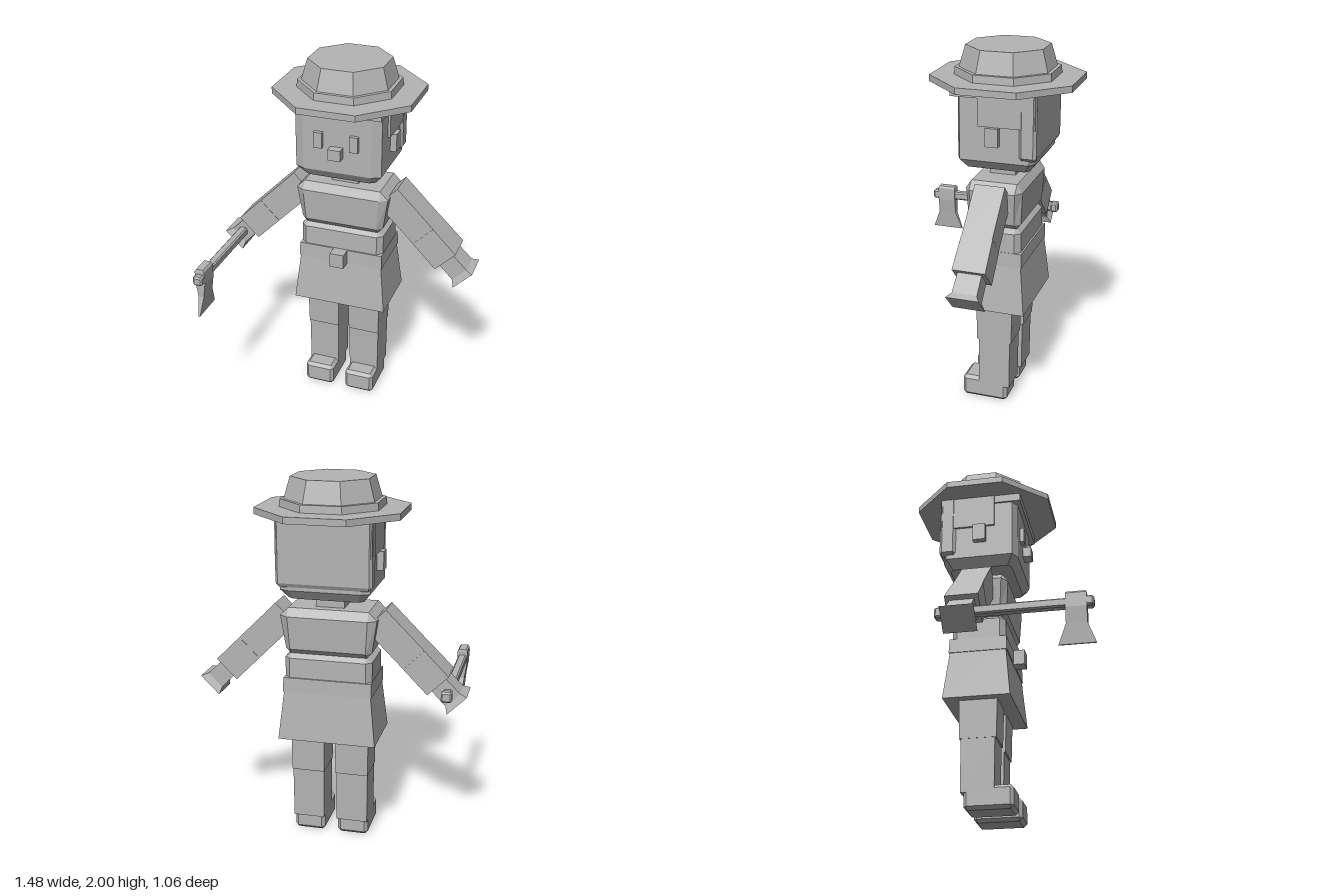
import * as THREE from 'three';

const grey = new THREE.MeshStandardMaterial({ color: 0xb4b4b4, flatShading: true });
grey.name = 'plain grey';

// Stacks chamfered rectangles [y, halfX, halfZ, chamferX, chamferZ] into a closed solid
function loft(rings) {
  const loops = rings.map(([y, hx, hz, cx = 0, cz = cx]) => [
    [hx, y, hz - cz], [hx, y, cz - hz], [hx - cx, y, -hz], [cx - hx, y, -hz],
    [-hx, y, cz - hz], [-hx, y, hz - cz], [cx - hx, y, hz], [hx - cx, y, hz],
  ]);
  const pos = [];
  const tri = (a, b, c) => pos.push(...a, ...b, ...c);
  const last = loops.length - 1;
  for (let i = 0; i < 8; i++) {
    const j = (i + 1) % 8;
    for (let k = 0; k < last; k++) {
      const lo = loops[k], hi = loops[k + 1];
      tri(lo[i], lo[j], hi[j]);
      tri(lo[i], hi[j], hi[i]);
    }
    tri([0, rings[0][0], 0], loops[0][j], loops[0][i]);
    tri([0, rings[last][0], 0], loops[last][i], loops[last][j]);
  }
  const g = new THREE.BufferGeometry();
  g.setAttribute('position', new THREE.Float32BufferAttribute(pos, 3));
  g.computeVertexNormals();
  return g;
}

// Box with every edge chamfered by c, standing on y0
const chamferBox = (y0, y1, hx, hz, c) => loft([
  [y0, hx - c, hz - c], [y0 + c, hx, hz, c], [y1 - c, hx, hz, c], [y1, hx - c, hz - c],
]);

// Regular octagons [y, apothem]
const octagon = (rings) => loft(rings.map(([y, a]) => [y, a, a, a * 0.5858]));

export function createModel() {
  const model = new THREE.Group();
  model.name = 'woodcutter';

  const add = (name, geometry, x = 0, y = 0, z = 0, parent = model) => {
    const m = new THREE.Mesh(geometry, grey);
    m.name = name;
    m.position.set(x, y, z);
    parent.add(m);
    return m;
  };
  // Box given by its extents
  const box = (name, x0, x1, y0, y1, z0, z1) => add(name,
    new THREE.BoxGeometry(x1 - x0, y1 - y0, z1 - z0),
    (x0 + x1) / 2, (y0 + y1) / 2, (z0 + z1) / 2);

  // Hat
  const hz = -0.15;
  add('hatBrim', octagon([[1.81, 0.382], [1.845, 0.382]]), 0, 0, hz);
  add('hatBand', octagon([[1.845, 0.262], [1.885, 0.258]]), 0, 0, hz);
  add('hatCrown', octagon([[1.88, 0.24], [2, 0.207]]), 0, 0, hz);

  // Head and neck
  add('head', loft([
    [1.38, 0.2, 0.175, 0.03, 0.02], [1.43, 0.24, 0.212, 0.05, 0.025],
    [1.82, 0.24, 0.212, 0.05, 0.025],
  ]), 0, 0, -0.15);
  box('neck', -0.077, 0.077, 1.28, 1.4, -0.22, -0.075);
  box('nose', -0.035, 0.035, 1.52, 1.58, 0.04, 0.11);

  // Hair: band under the hat, upper sides, back
  box('hairBand', -0.25, 0.25, 1.765, 1.815, -0.37, 0.085);
  box('hairSides', -0.253, 0.253, 1.62, 1.815, -0.37, -0.063);
  add('hairBack', loft([
    [1.45, 0.235, 0.035], [1.47, 0.255, 0.046, 0.015], [1.815, 0.255, 0.046, 0.015],
  ]), 0, 0, -0.33);

  // Torso
  add('chest', loft([
    [1.06, 0.205, 0.12], [1.09, 0.235, 0.145, 0.03], [1.27, 0.262, 0.155, 0.045, 0.03],
    [1.315, 0.217, 0.125],
  ]), 0, 0, -0.145);
  add('belly', loft([
    [0.9, 0.238, 0.147, 0.03], [1.04, 0.238, 0.145, 0.03], [1.07, 0.2, 0.115],
  ]), 0, 0, -0.147);
  add('belt', loft([[0.853, 0.243, 0.158], [0.932, 0.24, 0.155]]), 0, 0, -0.148);
  box('buckle', -0.04, 0.04, 0.848, 0.932, -0.02, 0.07);
  add('skirt', loft([[0.585, 0.267, 0.18], [0.86, 0.237, 0.152]]), 0, 0, -0.148);

  for (const s of [1, -1]) {
    const side = s > 0 ? 'left' : 'right';

    // Eye and ear
    add(side + 'Eye', new THREE.BoxGeometry(0.047, 0.087, 0.04), s * 0.1, 1.613, 0.065);
    add(side + 'Ear', new THREE.BoxGeometry(0.06, 0.1, 0.07), s * 0.245, 1.57, -0.145);

    // Leg and foot
    const lx = s * 0.123;
    add(side + 'Thigh', loft([[0.375, 0.09, 0.098], [0.62, 0.093, 0.103]]), lx, 0, -0.147);
    add(side + 'Shin', loft([[0.09, 0.086, 0.088], [0.375, 0.088, 0.09]]), lx, 0, -0.147);
    add(side + 'Foot', chamferBox(0, 0.125, 0.086, 0.13, 0.018), lx, 0, -0.09);

    // Arm hanging outward at 45 degrees, built downward from the shoulder
    const arm = new THREE.Group();
    arm.name = side + 'Arm';
    arm.position.set(s * 0.245, 1.268, -0.148);
    arm.rotation.z = s * Math.PI / 4;
    model.add(arm);
    add(side + 'UpperArm', loft([[-0.293, 0.078, 0.082], [0, 0.078, 0.082]]), 0, 0, 0, arm);
    add(side + 'Forearm', loft([[-0.48, 0.078, 0.088], [-0.293, 0.078, 0.084]]), 0, 0, 0, arm);
    add(side + 'Hand', loft([
      [-0.625, 0.072, 0.087], [-0.59, 0.054, 0.066], [-0.46, 0.052, 0.064],
    ]), 0, 0, 0, arm);
  }

  // Axe held in the right hand
  const axe = new THREE.Group();
  axe.name = 'axe';
  axe.position.set(-0.635, 0.884, 0);
  model.add(axe);
  const rod = (name, z0, z1, r, c) => {
    add(name, chamferBox(z0, z1, r, r, c), 0, 0, 0, axe).rotation.x = Math.PI / 2;
  };
  rod('axeHandle', -0.26, 0.5, 0.024, 0.008);
  rod('axeKnob', -0.28, -0.235, 0.029, 0.009);
  rod('axeTip', 0.47, 0.52, 0.027, 0.009);
  add('axeHead', loft([
    [-0.22, 0.004, 0.093], [-0.114, 0.016, 0.053], [-0.03, 0.028, 0.053],
    [0.045, 0.028, 0.053], [0.056, 0.02, 0.05],
  ]), 0, 0, 0.432, axe);

  return model;
}
